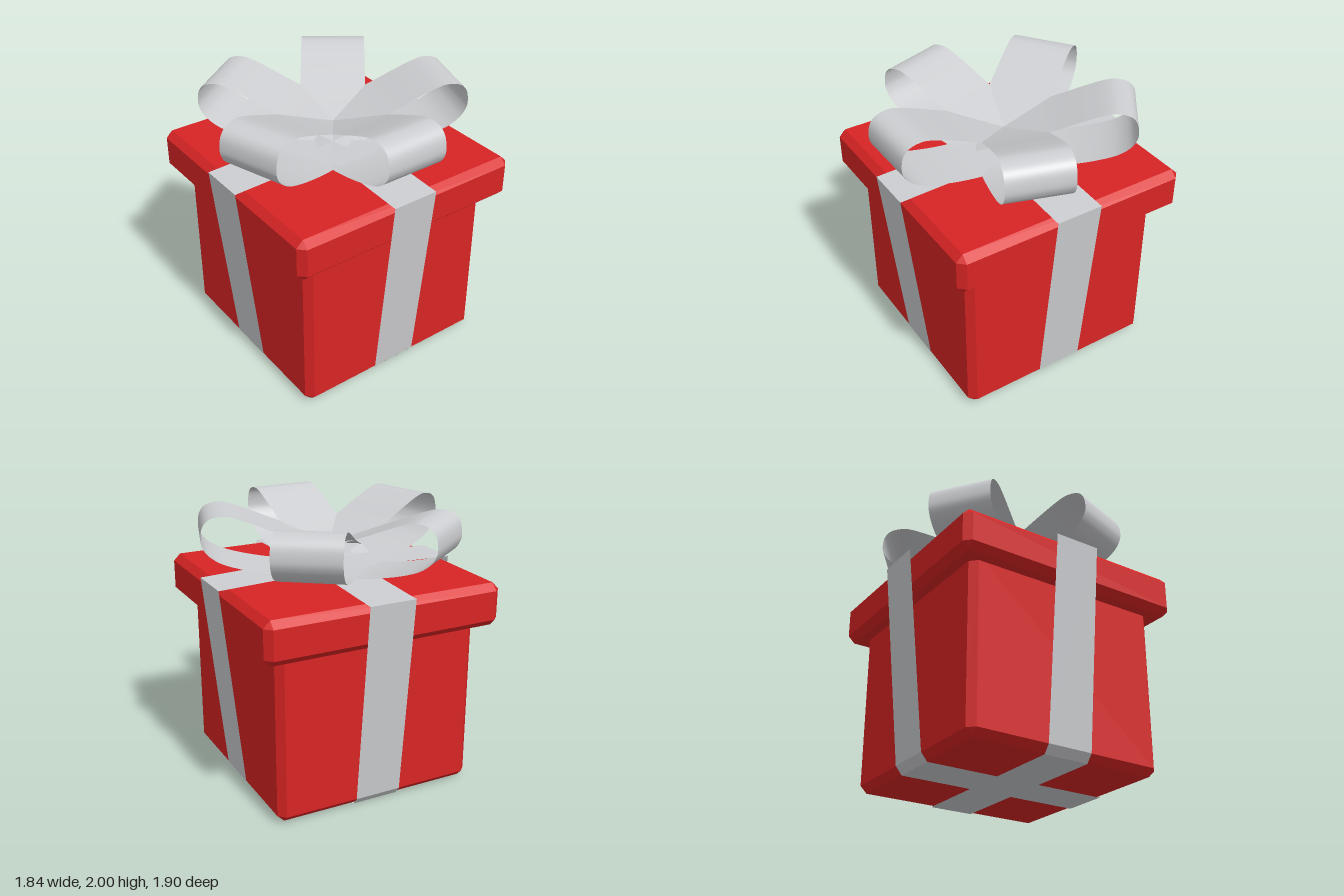
import * as THREE from 'three';
import { ConvexGeometry } from 'three/addons/geometries/ConvexGeometry.js';

// Box with every edge chamfered, standing between y0 and y1
function chamferedBox(half, y0, y1, c) {
  const hy = (y1 - y0) / 2, my = (y0 + y1) / 2;
  const points = [];
  for (const sx of [-1, 1]) for (const sy of [-1, 1]) for (const sz of [-1, 1]) {
    for (const [dx, dy, dz] of [[0, c, c], [c, 0, c], [c, c, 0]]) {
      points.push(new THREE.Vector3(sx * (half - dx), my + sy * (hy - dy), sz * (half - dz)));
    }
  }
  return new ConvexGeometry(points);
}

// Thin band swept sideways along a counter-clockwise path in the xy plane
function band(path, width) {
  const pos = [], idx = [];
  path.forEach((p, i) => {
    pos.push(p.x, p.y, -width / 2, p.x, p.y, width / 2);
    if (i < path.length - 1) {
      const a = i * 2;
      idx.push(a, a + 2, a + 1, a + 1, a + 2, a + 3);
    }
  });
  const geo = new THREE.BufferGeometry();
  geo.setAttribute('position', new THREE.Float32BufferAttribute(pos, 3));
  geo.setIndex(idx);
  return geo;
}

const toPoints = (list) => list.map(([x, y]) => new THREE.Vector2(x, y));

export function createModel() {
  const model = new THREE.Group();
  model.name = 'giftBox';

  const red = new THREE.MeshStandardMaterial({ color: 0xd82424 });
  red.name = 'red paper';
  const silver = new THREE.MeshStandardMaterial({ color: 0xcdced1, side: THREE.DoubleSide });
  silver.name = 'silver ribbon';

  const add = (name, geo, mat, turn = 0) => {
    const mesh = new THREE.Mesh(geo, mat);
    mesh.name = name;
    mesh.rotation.y = turn;
    model.add(mesh);
  };

  // Box and lid
  add('boxBody', chamferedBox(0.765, 0.01, 1.32, 0.05), red);
  add('lid', chamferedBox(0.89, 1.23, 1.54, 0.05), red);

  // Two crossing ribbons wrapped around the whole box
  const side = [[0.72, 0], [0.768, 0.06], [0.92, 1.545], [0.4, 1.563]];
  const mirrored = side.map(([x, y]) => [-x, y]).reverse();
  const wrap = band(toPoints([...side, [0, 1.552], ...mirrored, side[0]]), 0.347).toNonIndexed();
  wrap.computeVertexNormals();
  add('ribbonAcross', wrap, silver);
  add('ribbonFrontToBack', wrap, silver, Math.PI / 2);

  // Five bow loops, from the knot outwards and back over the top
  const loopCurve = new THREE.SplineCurve(toPoints([
    [0, 1.547], [0.3, 1.56], [0.55, 1.6], [0.76, 1.66], [0.865, 1.725], [0.91, 1.79],
    [0.92, 1.85], [0.905, 1.93], [0.86, 1.98], [0.78, 2], [0.7, 1.99], [0.55, 1.935],
    [0.32, 1.84], [0, 1.725], [-0.18, 1.67],
  ]));
  const loop = band(loopCurve.getPoints(56), 0.47);
  loop.computeVertexNormals();
  for (let i = 0; i < 5; i++) add(`bowLoop${i + 1}`, loop, silver, (i * Math.PI * 2) / 5);

  return model;
}
